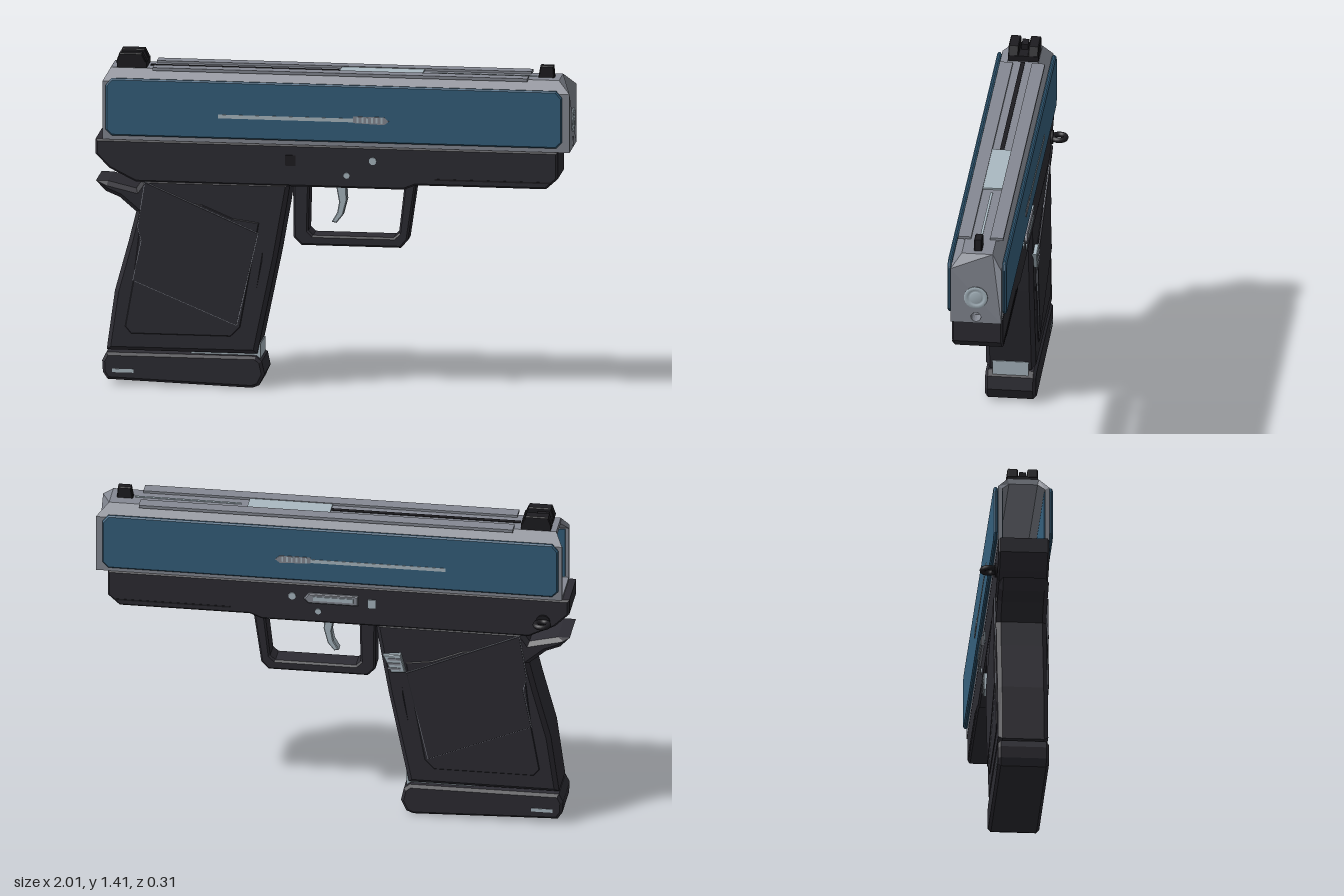
import * as THREE from 'three';

const mat = (name, color) => {
  const m = new THREE.MeshStandardMaterial({ color });
  m.name = name;
  return m;
};

export function createModel() {
  const dark = mat('dark polymer', 0x2d2c33);
  const black = mat('black sight', 0x1d1c20);
  const blue = mat('blue plate', 0x35607d);
  const grey = mat('grey steel', 0x858993);
  const light = mat('light steel', 0xaab9c2);

  const root = new THREE.Group();
  root.name = 'pistol';
  const body = new THREE.Group();
  body.name = 'body';
  body.position.z = 0.027; // the side ring sticks out, so the body sits off centre
  root.add(body);

  const add = (name, geo, m, x = 0, y = 0, z = 0) => {
    const mesh = new THREE.Mesh(geo, m);
    mesh.name = name;
    mesh.position.set(x, y, z);
    body.add(mesh);
    return mesh;
  };
  const toShape = (pts) => new THREE.Shape(pts.map((p) => new THREE.Vector2(...p)));
  const extrude = (pts, depth, bevel = 0, hole = null) => {
    const s = toShape(pts);
    if (hole) s.holes.push(toShape(hole));
    const g = new THREE.ExtrudeGeometry(s, {
      depth: depth - 2 * bevel, bevelEnabled: bevel > 0, bevelThickness: bevel,
      bevelSize: bevel, bevelOffset: -bevel, bevelSegments: 1, curveSegments: 16,
    });
    return g.translate(0, 0, bevel - depth / 2);
  };
  // Side profile (x, y) given thickness across z
  const side = (name, pts, width, m, z = 0, bevel = 0, hole = null) =>
    add(name, extrude(pts, width, bevel, hole), m, 0, 0, z);
  // Box given by its x and y limits
  const box = (name, x0, x1, y0, y1, w, m, z = 0) =>
    add(name, new THREE.BoxGeometry(x1 - x0, y1 - y0, w), m, (x0 + x1) / 2, (y0 + y1) / 2, z);

  // Slide: hollow shell open at the rear, plus a pierced front cap
  const section = [[-0.107, 1.05], [0.107, 1.05], [0.107, 1.3], [0.065, 1.35], [-0.065, 1.35], [-0.107, 1.3]];
  const bore = [[-0.09, 1.06], [-0.09, 1.29], [-0.06, 1.325], [0.06, 1.325], [0.09, 1.29], [0.09, 1.06]];
  const alongX = (pts, x0, x1, hole) =>
    extrude(pts, x1 - x0, 0, hole).rotateY(Math.PI / 2).translate((x0 + x1) / 2, 0, 0);
  const shell = alongX(section, -0.97, 0.94, bore);
  const drill = [];
  for (let i = 0; i < 16; i++) {
    const a = (-i / 16) * Math.PI * 2;
    drill.push([0.021 * Math.cos(a), 1.078 + 0.021 * Math.sin(a)]);
  }
  const cap = alongX(section, 0.94, 1.0, drill);
  // Slope the top corners at both ends
  for (const g of [shell, cap]) {
    const p = g.attributes.position;
    for (let i = 0; i < p.count; i++) {
      if (p.getY(i) > 1.32 && p.getX(i) > 0.97) p.setX(i, 0.95);
      if (p.getY(i) > 1.32 && p.getX(i) < -0.96) p.setX(i, -0.94);
    }
    g.computeVertexNormals();
  }
  add('slideShell', shell, grey);
  add('slideFront', cap, grey);

  // Muzzle: stepped rings
  const muzzle = new THREE.LatheGeometry([[0.05, 0], [0.05, 0.006], [0.036, 0.006], [0.034, 0.002], [0.024, 0.002],
    [0.024, 0.006], [0, 0.006]].map((p) => new THREE.Vector2(...p)), 24);
  add('muzzle', muzzle.rotateZ(-Math.PI / 2), light, 0.999, 1.17, 0);

  // Slide side plates with inlays, on both sides
  const plate = [[-0.93, 1.07], [0.945, 1.07], [0.97, 1.095], [0.97, 1.285], [0.945, 1.315],
    [-0.93, 1.315], [-0.955, 1.285], [-0.955, 1.095]];
  const clip = [[0.09, 1.155], [0.22, 1.15], [0.24, 1.165], [0.22, 1.183], [0.09, 1.183]];
  for (const s of [1, -1]) {
    side('sidePlate', plate, 0.018, blue, s * 0.115, 0.006);
    box('slideLiner', -0.955, 0.93, 1.065, 1.285, 0.004, blue, s * 0.088);
    box('lightInlay', -0.48, 0.09, 1.158, 1.174, 0.003, light, s * 0.1245);
    side('inlayClip', clip, 0.004, grey, s * 0.1245);
    for (let i = 0; i < 6; i++) {
      box('clipRib', 0.105 + i * 0.02, 0.113 + i * 0.02, 1.156, 1.18, 0.002, light, s * 0.1262);
    }
    box('topStrip', -0.76, 0.82, 1.347, 1.36, 0.055, grey, s * 0.0675);
  }

  // Top groove and chamber cover
  box('topGroove', -0.78, 0.02, 1.348, 1.353, 0.018, black);
  box('chamberCover', 0.02, 0.37, 1.345, 1.357, 0.08, light);
  box('frontGroove', 0.4, 0.85, 1.348, 1.353, 0.01, light);

  // Sights
  box('rearSightBase', -0.915, -0.79, 1.345, 1.375, 0.128, black);
  for (const s of [1, -1]) {
    side('rearSightPost', [[-0.92, 1.37], [-0.79, 1.37], [-0.81, 1.412], [-0.905, 1.412]], 0.044, black, s * 0.042, 0.004);
  }
  box('rearSightBead', -0.9, -0.85, 1.37, 1.4, 0.028, black);
  side('frontSight', [[0.855, 1.345], [0.925, 1.345], [0.92, 1.4], [0.865, 1.4]], 0.034, black, 0, 0.004);

  // Frame
  side('frame', [[-1, 1.05], [-1, 0.985], [-0.94, 0.925], [-0.83, 0.87], [0.3, 0.87], [0.35, 0.89], [0.9, 0.89],
    [0.95, 0.935], [0.95, 1.05]], 0.214, dark, 0, 0.008);
  for (const s of [1, -1]) {
    box('railLine', 0.43, 0.92, 0.914, 0.921, 0.003, black, s * 0.107);
    for (const [x, y, r] of [[0.17, 0.99, 0.016], [0.06, 0.925, 0.013]]) {
      add('pin', new THREE.CylinderGeometry(r, r, 0.006, 12).rotateX(Math.PI / 2), light, x, y, s * 0.109);
    }
  }
  box('squarePin', -0.2, -0.155, 0.96, 1.005, 0.006, black, 0.108);
  box('squarePinBack', -0.185, -0.15, 0.955, 0.995, 0.008, light, -0.109);

  // Slide catch on the model's back side
  side('slideCatch', [[-0.11, 0.965], [0.1, 0.965], [0.12, 0.985], [0.1, 1.01], [-0.11, 1.01]], 0.016, grey, -0.112, 0.004);
  box('slideCatchRib', -0.09, 0.08, 0.98, 0.998, 0.004, light, -0.121);

  // Horizontal carrying ring
  add('sideRing', new THREE.TorusGeometry(0.027, 0.012, 8, 20).rotateX(Math.PI / 2), black, -0.89, 0.948, -0.141);
  add('ringMount', new THREE.CylinderGeometry(0.03, 0.03, 0.012, 12).rotateX(Math.PI / 2), black, -0.89, 0.948, -0.11);

  // Grip with rear tang and a slit behind the front strap
  const grip = [[-0.18, 0.885], [-0.2, 0.76], [-0.235, 0.56], [-0.32, 0.145], [-0.955, 0.145], [-0.92, 0.4], [-0.86, 0.62],
    [-0.83, 0.74], [-0.9, 0.8], [-0.96, 0.825], [-1, 0.868], [-0.95, 0.868], [-0.83, 0.84], [-0.8, 0.885]];
  const slit = [[-0.3, 0.71], [-0.27, 0.69], [-0.275, 0.6], [-0.325, 0.4], [-0.315, 0.55]];
  side('grip', grip, 0.21, dark, 0, 0.018, slit);
  const raised = [[-0.8, 0.8], [-0.84, 0.45], [-0.875, 0.25], [-0.85, 0.22], [-0.43, 0.22], [-0.39, 0.26],
    [-0.31, 0.71], [-0.42, 0.725], [-0.55, 0.78]];
  const panel = [[-0.79, 0.87], [-0.315, 0.665], [-0.405, 0.27], [-0.84, 0.45], [-0.805, 0.62], [-0.82, 0.68]];
  const rim = panel.map(([x, y]) => [-0.59 + (x + 0.59) * 1.012, 0.57 + (y - 0.57) * 1.012]);
  for (const s of [1, -1]) {
    side('gripRaisedArea', raised, 0.008, dark, s * 0.105, 0.003);
    side('gripPanelRim', rim, 0.004, grey, s * 0.109);
    side('gripPanel', panel, 0.008, dark, s * 0.111);
  }

  // Magazine: light body, release button and floor plate
  box('magazineBody', -0.6, -0.308, 0.12, 0.185, 0.15, light);
  side('magazineRelease', [[-0.31, 0.67], [-0.25, 0.665], [-0.215, 0.745], [-0.29, 0.755]], 0.03, light, -0.108, 0.004);
  for (let i = 0; i < 3; i++) {
    box('releaseRib', -0.29, -0.235, 0.683 + i * 0.022, 0.692 + i * 0.022, 0.006, grey, -0.124);
  }
  side('magazineBase', [[-0.95, 0.02], [-0.34, 0], [-0.31, 0.012], [-0.288, 0.06], [-0.3, 0.115], [-0.325, 0.135],
    [-0.955, 0.135], [-0.973, 0.1], [-0.97, 0.05]], 0.214, dark, 0, 0.012);
  for (const s of [1, -1]) box('baseMark', -0.93, -0.84, 0.052, 0.067, 0.004, light, s * 0.107);

  // Trigger guard and trigger
  side('triggerGuard', [[-0.175, 0.885], [-0.172, 0.64], [-0.14, 0.607], [0.28, 0.607], [0.31, 0.64], [0.345, 0.885]],
    0.1, dark, 0, 0.008,
    [[-0.105, 0.87], [0.295, 0.87], [0.272, 0.67], [0.25, 0.65], [-0.09, 0.65], [-0.11, 0.67]]);
  side('trigger', [[0, 0.88], [0.045, 0.88], [0.05, 0.8], [0.033, 0.735], [0.005, 0.7], [-0.015, 0.705],
    [0.008, 0.745], [0.016, 0.79]], 0.045, light, 0, 0.004);

  return root;
}
